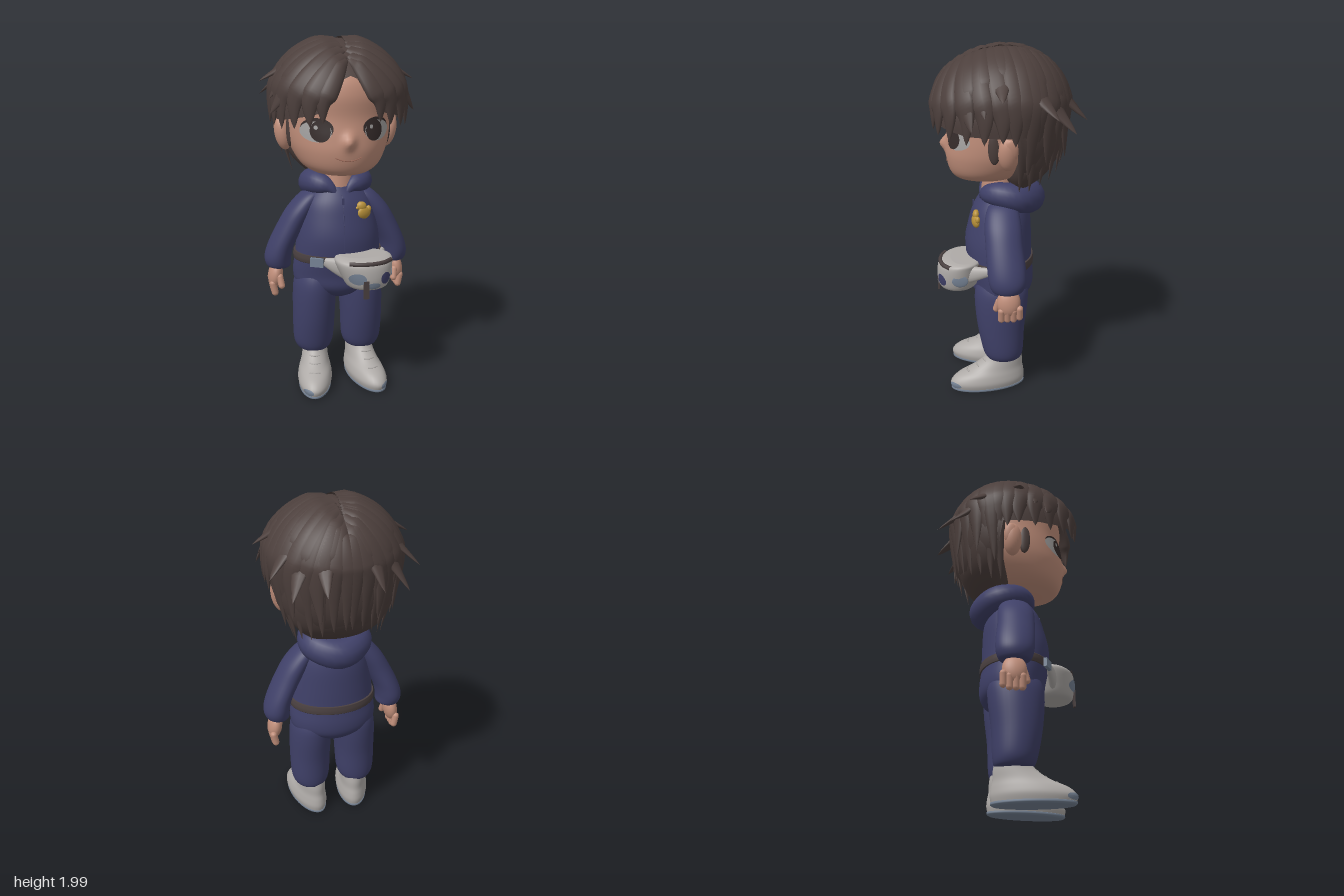
import * as THREE from 'three';

const mat = (name, color, side = THREE.FrontSide) => {
  const m = new THREE.MeshStandardMaterial({ color, side });
  m.name = name;
  return m;
};

// Closed-ring surface: point(i, j) gives row i, column j
function grid(rows, cols, point) {
  const pos = [], idx = [];
  for (let i = 0; i < rows; i++) for (let j = 0; j < cols; j++) {
    pos.push(...point(i, j));
    if (i === rows - 1) continue;
    const k = (j + 1) % cols, a = i * cols + j, b = i * cols + k, c = b + cols, d = a + cols;
    idx.push(a, b, c, a, c, d);
  }
  const g = new THREE.BufferGeometry();
  g.setAttribute('position', new THREE.Float32BufferAttribute(pos, 3));
  g.setIndex(idx);
  g.computeVertexNormals();
  return g;
}

// Smooth rows of [y, cx, cz, rx, rz]
function smooth(rows, n = 5) {
  const out = [];
  for (let i = 0; i < rows.length - 1; i++) for (let s = 0; s < n; s++) {
    const t = s / n, p = [rows[Math.max(i - 1, 0)], rows[i], rows[i + 1], rows[Math.min(i + 2, rows.length - 1)]];
    out.push(rows[i].map((_, k) => {
      const [a, b, c, d] = p.map(r => r[k]);
      return b + 0.5 * t * (c - a + t * (2 * a - 5 * b + 4 * c - d + t * (3 * (b - c) + d - a)));
    }));
  }
  return [...out, rows[rows.length - 1]];
}

// Stacked ellipses with closed ends; s mirrors x
function loft(rows, s = 1, seg = 36) {
  const d = smooth(rows), cap = r => [r[0], r[1], r[2], 0, 0];
  const all = [cap(d[0]), ...d, cap(d[d.length - 1])];
  return grid(all.length, seg, (i, j) => {
    const a = j / seg * Math.PI * 2, [y, cx, cz, rx, rz] = all[i];
    return [cx * s + rx * Math.sin(a), y, cz + rz * Math.cos(a)];
  });
}

// Front z of a loft at (x, y)
function frontZ(dense, x, y) {
  let i = dense.findIndex(r => r[0] > y);
  i = i < 1 ? dense.length - 1 : i;
  const p = dense[i - 1], q = dense[i], t = (y - p[0]) / (q[0] - p[0]);
  const [, cx, cz, rx, rz] = p.map((v, k) => v + (q[k] - v) * t);
  return cz + rz * Math.sqrt(Math.max(0, 1 - ((x - cx) / rx) ** 2));
}

// Flat ellipse moulded onto the front of a loft
function decal(dense, x, y, rx, ry, off) {
  const g = new THREE.RingGeometry(0, 1, 28, 5), p = g.attributes.position;
  for (let i = 0; i < p.count; i++) {
    const u = x + p.getX(i) * rx, v = y + p.getY(i) * ry;
    p.setXYZ(i, u, v, frontZ(dense, u, v) + off);
  }
  g.computeVertexNormals();
  return g;
}

// Elliptical tube along a curve, broad side facing away from centre
function sweep(points, width, height, centre, steps = 26, seg = 10) {
  const curve = new THREE.CatmullRomCurve3(points);
  const frames = [];
  for (let i = 0; i <= steps; i++) {
    const t = i / steps, p = curve.getPoint(t), T = curve.getTangent(t);
    const N = p.clone().sub(centre);
    N.addScaledVector(T, -N.dot(T)).normalize();
    frames.push({ p, N, B: N.clone().cross(T), w: width(t), h: height(t) });
  }
  return grid(steps + 1, seg, (i, j) => {
    const a = j / seg * Math.PI * 2, f = frames[i];
    return f.p.clone().addScaledVector(f.B, Math.cos(a) * f.w).addScaledVector(f.N, Math.sin(a) * f.h).toArray();
  });
}

export function createModel() {
  const model = new THREE.Group();
  const V = (x, y, z) => new THREE.Vector3(x, y, z);
  const hair = mat('dark brown hair', 0x4c3f3c, THREE.DoubleSide), skin = mat('skin', 0xc08e7a);
  const navy = mat('navy cloth', 0x3f4068), shoe = mat('pale grey', 0xaeaaa7);
  const gold = mat('gold', 0xb8913a), strap = mat('strap brown', 0x4a4040);
  const white = mat('eye white', 0xa5a3a2), dark = mat('eye dark', 0x362c2b);
  const slate = mat('slate blue', 0x758294), lip = mat('lip', 0xa06c5b);
  const add = (name, geo, m, x = 0, y = 0, z = 0) => {
    const mesh = new THREE.Mesh(geo, m);
    mesh.name = name;
    mesh.position.set(x, y, z);
    model.add(mesh);
    return mesh;
  };
  const ball = (name, m, x, y, z, a, b, c) => {
    const o = add(name, new THREE.SphereGeometry(1, 24, 16), m, x, y, z);
    o.scale.set(a, b, c);
    return o;
  };

  // Head, with the nose raised from the face
  const headRows = [[1.262, 0, 0.12, 0.07, 0.09], [1.278, 0, 0.115, 0.15, 0.165], [1.32, 0, 0.09, 0.215, 0.225],
    [1.4, 0, 0.05, 0.262, 0.283], [1.48, 0, 0.03, 0.283, 0.298], [1.58, 0, 0.03, 0.287, 0.285],
    [1.7, 0, 0.02, 0.287, 0.3], [1.8, 0, 0, 0.25, 0.28], [1.9, 0, 0, 0.12, 0.15]];
  const face = smooth(headRows);
  const headGeo = loft(headRows, 1, 128), hp = headGeo.attributes.position;
  for (let i = 0; i < hp.count; i++) if (hp.getZ(i) > 0.2) {
    const u = hp.getX(i) / 0.032, v = (hp.getY(i) - 1.462) / 0.036;
    hp.setZ(i, hp.getZ(i) + 0.037 * Math.exp(-u * u - v * v));
  }
  headGeo.computeVertexNormals();
  add('head', headGeo, skin);
  add('neck', new THREE.CylinderGeometry(0.085, 0.1, 0.18, 24), skin, 0, 1.21, 0.045);
  const smile = [-0.07, -0.035, 0, 0.035, 0.07].map(x => {
    const y = 1.362 + 3.5 * x * x;
    return V(x, y, frontZ(face, x, y));
  });
  add('mouth', new THREE.TubeGeometry(new THREE.CatmullRomCurve3(smile), 16, 0.003, 6), lip);
  for (const s of [1, -1]) {
    add('eyeLash', decal(face, s * 0.156, 1.528, 0.078, 0.055, 0.002), dark);
    add('eyeWhite', decal(face, s * 0.163, 1.513, 0.075, 0.054, 0.004), white);
    add('iris', decal(face, s * 0.143, 1.515, 0.05, 0.055, 0.006), dark);
    add('eyeGlint', decal(face, s * 0.145 - 0.02, 1.535, 0.01, 0.011, 0.008), white);
    ball('ear', skin, s * 0.3, 1.47, 0, 0.045, 0.095, 0.052).rotation.z = -s * 0.2;
    ball('earRim', skin, s * 0.326, 1.49, -0.012, 0.018, 0.065, 0.04).rotation.z = -s * 0.2;
    ball('sideburn', hair, s * 0.27, 1.5, 0.07, 0.02, 0.095, 0.035);
  }

  // Scalp shape: an ellipsoid, squarer at the front corners
  const Y0 = 1.63, RX = 0.363, RY = 0.345, centre = V(0, Y0, 0);
  const scalp = (sx, y, sz) => {
    const b = sz > 0 ? 1 + 0.06 * (2 * sx * sz) ** 2 : 1;
    return V(RX * b * sx, y, (sz > 0 ? 0.405 : 0.34) * b * sz);
  };
  // Hair cap with a curved hairline, and hair down to the nape
  const hemLine = [[0, 1.8], [13, 1.77], [18, 1.64], [30, 1.61], [60, 1.57], [100, 1.56], [108, 1.36], [150, 1.35], [181, 1.39]];
  const hem = d => {
    const i = hemLine.findIndex(h => h[0] > d), [a, b] = [hemLine[i - 1], hemLine[i]];
    return a[1] + (b[1] - a[1]) * (d - a[0]) / (b[0] - a[0]);
  };
  add('hairCap', grid(19, 90, (i, j) => {
    const a = j / 90 * Math.PI * 2, d = Math.min(j, 90 - j) * 4;
    const phi = Math.acos((hem(d) - Y0) / RY) * (1 - i / 18);
    const k = phi > Math.PI / 2 ? Math.sqrt(Math.sin(phi)) : Math.sin(phi);
    return scalp(k * Math.sin(a), Y0 + RY * Math.cos(phi), k * Math.cos(a)).toArray();
  }), hair);
  add('napeHair', loft([[1.235, 0, -0.075, 0.15, 0.06], [1.3, 0, -0.1, 0.22, 0.12], [1.38, 0, -0.12, 0.27, 0.15],
    [1.5, 0, -0.13, 0.3, 0.17], [1.62, 0, -0.13, 0.28, 0.17]]), hair);

  // Locks sweep from the parting over the scalp to a pointed tip
  const lock = (name, s, z0, az, lift, tip, w) => {
    const A = az * Math.PI / 180;
    const from = V(0.06, Math.sqrt(0.99 - z0 * z0), z0), to = V(Math.sin(A), lift, Math.cos(A));
    const pts = [0, 0.25, 0.5, 0.75, 1].map(t => {
      const d = from.clone().lerp(to, t).normalize();
      return scalp(s * d.x, Y0 + RY * d.y, d.z);
    });
    pts.push(V(s * tip.x, tip.y, tip.z));
    const taper = t => (t < 0.68 ? 1 : ((1 - t) / 0.32) ** 0.75);
    add(name, sweep(pts, t => w * (0.5 + 0.5 * Math.sin(Math.min(1, t * 1.6) * Math.PI / 2)) * taper(t),
      t => 0.03 * Math.min(1, 0.35 + 4 * t) * taper(t), centre), hair);
  };
  const bottoms = [[23, 1.57, 1.01], [33, 1.55, 1.01], [46, 1.535, 1.01], [60, 1.525, 1.01], [73, 1.53, 1.02], [86, 1.54, 1.02],
    [96, 1.52, 1.0], [105, 1.24, 0.68], [117, 1.24, 0.73], [130, 1.27, 0.78], [143, 1.29, 0.82], [155, 1.32, 0.86],
    [166, 1.35, 0.88], [177, 1.36, 0.9]];
  // Flared tips: azimuth, tip, start on the parting
  const spikes = [[84, [0.427, 1.755, 0.03], 0.1], [58, [0.388, 1.6, 0.185], 0.4], [68, [0.385, 1.67, 0.12], 0.3],
    [120, [0.395, 1.66, -0.25], -0.15], [138, [0.305, 1.57, -0.352], -0.4], [159, [0.145, 1.61, -0.427], -0.6],
    [128, [0.27, 1.4, -0.2], -0.3], [152, [0.15, 1.41, -0.31], -0.5], [112, [0.29, 1.33, -0.1], -0.1]];
  for (const s of [1, -1]) {
    bottoms.forEach(([az, y, k], i) => {
      const A = az * Math.PI / 180;
      lock('hairLock', s, i ? 0.74 - i * 0.11 : 0.69, az, 0.12, scalp(k * Math.sin(A), y, k * Math.cos(A)), i ? 0.07 : 0.056);
    });
    spikes.forEach(([az, tip, z0]) => lock('hairSpike', s, z0, az, Math.max(0.1, (tip[1] - Y0) / RY + 0.38), V(...tip), 0.075));
  }

  // Hooded jacket and trouser seat
  const torsoRows = [[0.525, 0, 0.03, 0.05, 0.08], [0.56, 0, 0.03, 0.15, 0.14], [0.61, 0, 0.026, 0.24, 0.175],
    [0.68, 0, 0.025, 0.257, 0.183], [0.78, 0, 0.04, 0.247, 0.188], [0.9, 0, 0.045, 0.235, 0.19], [1.02, 0, 0.035, 0.215, 0.175],
    [1.1, 0, 0.03, 0.19, 0.155], [1.17, 0, 0.02, 0.14, 0.125], [1.22, 0, 0.02, 0.1, 0.1]];
  const torso = smooth(torsoRows);
  add('jacket', loft(torsoRows, 1, 48), navy);
  const hoodHalf = [[0.012, 1.115, 0.152], [0.06, 1.178, 0.128], [0.125, 1.198, 0.06], [0.125, 1.175, -0.06]];
  const hoodPts = [...hoodHalf.map(p => V(...p)), V(0, 1.145, -0.135), ...hoodHalf.reverse().map(([x, y, z]) => V(-x, y, z))];
  const hoodSize = (a, b) => t => Math.min(1, 6 * t, 6 * (1 - t)) * (a + b * Math.sin(t * Math.PI) ** 1.5);
  add('hood', sweep(hoodPts, hoodSize(0.03, 0.06), hoodSize(0.018, 0.07), V(0, 1.1, 0.02), 44, 16), navy);
  const zipLine = [0.84, 0.92, 1.0, 1.07, 1.14].map(y => V(0, y, frontZ(torso, 0, y)));
  add('zip', new THREE.TubeGeometry(new THREE.CatmullRomCurve3(zipLine), 20, 0.0025, 6), navy);
  add('zipPull', new THREE.BoxGeometry(0.012, 0.035, 0.008), navy, 0, 1.11, frontZ(torso, 0, 1.11) + 0.006);

  // Duck badge on the chest
  const bz = frontZ(torso, 0.12, 1.04);
  ball('badgeBody', gold, 0.122, 1.037, bz, 0.043, 0.035, 0.018).rotation.y = 0.4;
  ball('badgeHead', gold, 0.107, 1.073, bz - 0.004, 0.03, 0.029, 0.02);
  ball('badgeBeak', gold, 0.082, 1.068, bz + 0.004, 0.013, 0.009, 0.01);
  ball('badgeTail', gold, 0.15, 1.055, bz - 0.012, 0.016, 0.02, 0.014);

  // Limbs
  const armRows = [[0.705, 0.335, 0.005, 0.05, 0.06], [0.715, 0.338, 0.005, 0.07, 0.085], [0.765, 0.342, 0.005, 0.076, 0.102],
    [0.84, 0.322, 0.01, 0.075, 0.105], [0.95, 0.268, 0.02, 0.077, 0.102], [1.05, 0.21, 0.025, 0.076, 0.1],
    [1.13, 0.15, 0.025, 0.06, 0.08], [1.165, 0.12, 0.02, 0.02, 0.03]];
  const legRows = [[0.19, 0.142, 0.02, 0.075, 0.085], [0.205, 0.143, 0.02, 0.098, 0.105], [0.26, 0.143, 0.025, 0.116, 0.12],
    [0.4, 0.141, 0.035, 0.122, 0.137], [0.55, 0.136, 0.033, 0.125, 0.153], [0.64, 0.13, 0.03, 0.118, 0.15], [0.72, 0.12, 0.03, 0.09, 0.12]];
  const shoeRows = [[0.014, 0, 0.118, 0.092, 0.215], [0.05, 0, 0.118, 0.1, 0.222], [0.09, 0, 0.1, 0.093, 0.2],
    [0.13, 0, 0.06, 0.08, 0.152], [0.18, 0, 0.025, 0.073, 0.115], [0.235, 0, 0.01, 0.068, 0.09]];
  const soleRows = [[0, 0, 0.118, 0.086, 0.208], [0.008, 0, 0.118, 0.095, 0.22], [0.019, 0, 0.118, 0.095, 0.22]];
  const shoeTop = smooth(shoeRows);
  for (const s of [1, -1]) {
    add('sleeve', loft(armRows, s), navy);
    add('trouserLeg', loft(legRows, s), navy);
    ball('palm', skin, s * 0.358, 0.65, 0, 0.042, 0.08, 0.065).rotation.z = s * 0.15;
    for (let f = 0; f < 4; f++) {
      const finger = add('finger', new THREE.CapsuleGeometry(0.02, 0.055, 4, 10), skin, s * 0.372, 0.58 + (f === 3 ? 0.012 : 0), 0.04 - f * 0.033);
      finger.rotation.z = -s * 0.2;
    }
    const thumb = add('thumb', new THREE.CapsuleGeometry(0.019, 0.05, 4, 10), skin, s * 0.335, 0.625, 0.06);
    thumb.rotation.set(-0.3, 0, -s * 0.15);
    // Shoes turned slightly outward
    const parts = [add('shoe', loft(shoeRows), shoe), add('shoeSole', loft(soleRows), slate),
      add('toePatch', decal(shoeTop, s * 0.035, 0.04, 0.03, 0.018, 0.003), slate)];
    for (const y of [0.115, 0.145, 0.175]) {
      const lace = [-0.03, 0, 0.03].map(x => V(x, y, frontZ(shoeTop, x, y) - 0.002));
      parts.push(add('lace', new THREE.TubeGeometry(new THREE.CatmullRomCurve3(lace), 8, 0.005, 6), shoe));
    }
    for (const p of parts) {
      p.position.x = s * 0.13;
      p.rotation.y = s * 0.18;
    }
  }

  // Waist strap, buckle and pouch
  add('strap', loft([[0.758, 0, 0.036, 0.254, 0.193], [0.78, 0, 0.038, 0.257, 0.196], [0.806, 0, 0.04, 0.253, 0.195]], 1, 48), strap);
  const buckle = add('buckle', new THREE.BoxGeometry(0.075, 0.05, 0.02), slate, -0.15, 0.775, 0.205);
  buckle.rotation.y = -0.5;
  const pouchRows = [[0.65, 0.115, 0.285, 0.08, 0.07], [0.665, 0.115, 0.28, 0.115, 0.105], [0.72, 0.11, 0.275, 0.14, 0.122],
    [0.79, 0.1, 0.265, 0.16, 0.125], [0.815, 0.1, 0.25, 0.155, 0.11], [0.825, 0.1, 0.24, 0.13, 0.08]];
  const pouch = smooth(pouchRows);
  add('pouch', loft(pouchRows), shoe);
  // Tapered wings join the pouch to the strap
  const wing = pts => sweep(pts.map(p => V(...p)), t => 0.078 - 0.055 * t, t => 0.036 - 0.022 * t, V(0.05, 0.76, 0), 12, 16);
  add('pouchWing', wing([[0.15, 0.74, 0.27], [0.215, 0.76, 0.21], [0.252, 0.785, 0.1]]), shoe);
  add('pouchWing', wing([[0.04, 0.74, 0.27], [-0.04, 0.76, 0.245], [-0.11, 0.78, 0.215]]), shoe);
  const seam = [0.0, 0.05, 0.12, 0.19, 0.24].map(x => V(x, 0.805, frontZ(pouch, x, 0.805)));
  add('pouchZip', new THREE.TubeGeometry(new THREE.CatmullRomCurve3(seam), 20, 0.012, 8), strap);
  add('pouchPatch', decal(pouch, 0.198, 0.72, 0.03, 0.034, 0.004), navy);
  add('pouchPatch', decal(pouch, 0.04, 0.725, 0.045, 0.033, 0.004), slate);
  add('pouchPatch', decal(pouch, 0.125, 0.685, 0.04, 0.018, 0.004), slate);
  ball('pouchSidePatch', slate, 0.25, 0.73, 0.265, 0.006, 0.035, 0.045);
  add('pouchPull', new THREE.BoxGeometry(0.03, 0.1, 0.012), strap, 0.085, 0.665, 0.392);
  return model;
}
